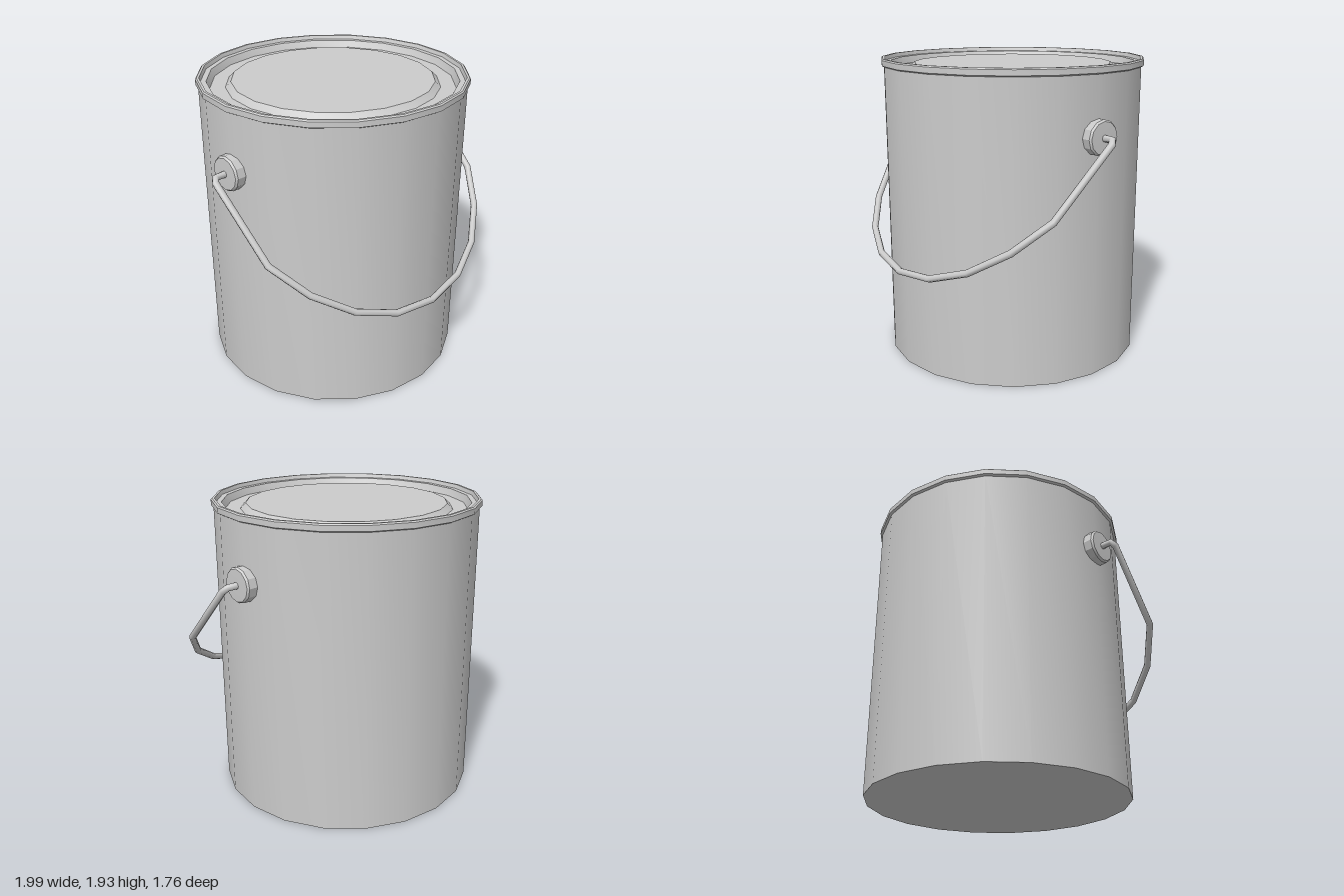
import * as THREE from 'three';
import { toCreasedNormals } from 'three/addons/utils/BufferGeometryUtils.js';

const material = new THREE.MeshStandardMaterial({ color: 0xcccccc });
const CENTRE_Z = -0.03;
const PIVOT_Y = 1.52;

function addMesh(parent, name, geometry) {
  const mesh = new THREE.Mesh(geometry, material);
  mesh.name = name;
  parent.add(mesh);
  return mesh;
}

// Revolved profile: smooth around, sharp at the profile's corners
function turned(profile, sides) {
  const points = profile.map(([r, y]) => new THREE.Vector2(r, y));
  return toCreasedNormals(new THREE.LatheGeometry(points, sides), 0.5);
}

// Polyline sampled exactly at its corners, so a tube gets mitred joints
class Polyline extends THREE.Curve {
  constructor(points) {
    super();
    this.points = points;
  }
  getPointAt(t, target = new THREE.Vector3()) {
    return target.copy(this.points[Math.round(t * (this.points.length - 1))]);
  }
  getTangentAt(t, target = new THREE.Vector3()) {
    const p = this.points;
    const i = Math.round(t * (p.length - 1));
    target.set(0, 0, 0);
    if (i > 0) target.add(p[i].clone().sub(p[i - 1]).normalize());
    if (i < p.length - 1) target.add(p[i + 1].clone().sub(p[i]).normalize());
    return target.normalize();
  }
}

export function createModel() {
  const model = new THREE.Group();
  model.name = 'paintCan';

  // Can wall with its closed bottom
  const body = turned([[0, 0], [0.84, 0], [0.84, 1.9]], 20);
  addMesh(model, 'body', body).position.z = CENTRE_Z;

  // Rolled rim bead, stepping down to the seat of the lid
  const rim = turned([
    [0.84, 1.885], [0.855, 1.893], [0.855, 1.927], [0.847, 1.935],
    [0.832, 1.935], [0.824, 1.91], [0.79, 1.91],
  ], 20);
  addMesh(model, 'rim', rim).position.z = CENTRE_Z;

  // Pressed lid: sunken groove around a raised centre panel
  const lid = turned([[0.79, 1.91], [0.77, 1.865], [0.675, 1.865], [0.64, 1.9], [0, 1.9]], 20);
  addMesh(model, 'lid', lid).position.z = CENTRE_Z;

  // Round ears holding the handle
  const ear = turned([[0, 0], [0.11, 0], [0.11, 0.08], [0.1, 0.092], [0, 0.095]], 12);
  for (const side of [1, -1]) {
    const mesh = addMesh(model, side > 0 ? 'leftEar' : 'rightEar', ear);
    mesh.position.set(side * 0.8, PIVOT_Y, CENTRE_Z);
    mesh.rotation.z = -side * Math.PI / 2;
  }

  // Wire handle hanging forward at 45 degrees: [x, drop below the pivot]
  const half = [
    [0.86, 0], [0.957, 0], [0.976, 0.022], [0.947, 0.42],
    [0.795, 0.605], [0.575, 0.755], [0.305, 0.85], [0, 0.883],
  ];
  const outline = [...half, ...half.slice(0, -1).reverse().map(([x, d]) => [-x, d])];
  const path = outline.map(([x, d]) => new THREE.Vector3(x, PIVOT_Y - d, CENTRE_Z + d));
  addMesh(model, 'handle', new THREE.TubeGeometry(new Polyline(path), path.length - 1, 0.022, 8));

  return model;
}
